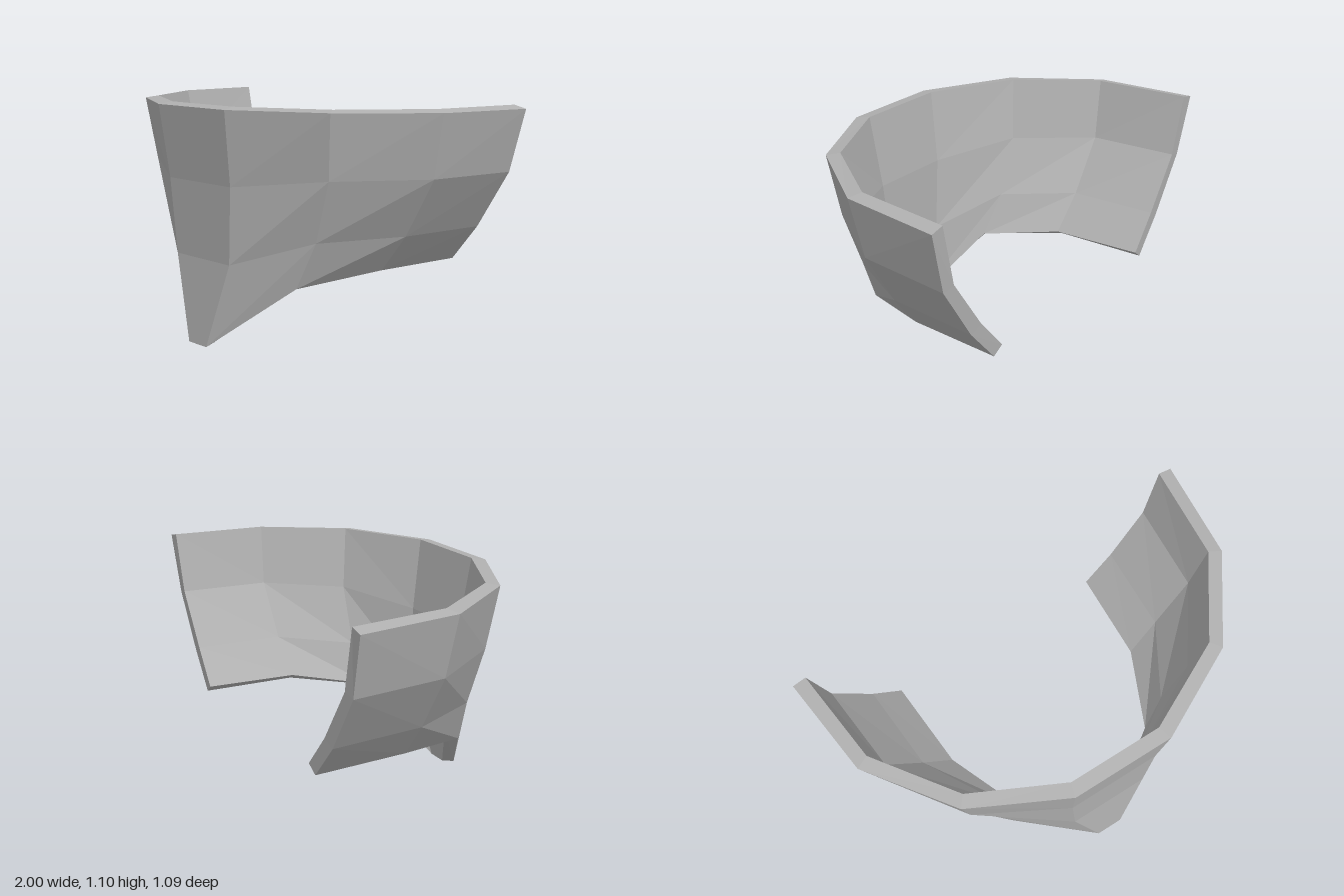
import * as THREE from 'three';

// Cross-sections of the +x half, front to back; each runs from the top rim down to the lower edge.
const OUTER = [
  [[0.245, 1.09, 0.545], [0.225, 0.75, 0.5], [0.195, 0.395, 0.485], [0.065, 0, 0.52]],
  [[0.675, 1.09, 0.325], [0.63, 0.797, 0.29], [0.53, 0.515, 0.27], [0.43, 0.3, 0.295]],
  [[0.95, 1.087, -0.065], [0.885, 0.8, -0.085], [0.72, 0.53, -0.09], [0.58, 0.357, -0.085]],
  [[1, 1.085, -0.545], [0.925, 0.8, -0.535], [0.75, 0.53, -0.535], [0.6, 0.357, -0.54]],
];
const INNER = [
  [[0.225, 1.1, 0.48], [0.205, 0.755, 0.43], [0.17, 0.4, 0.415], [0.05, 0.01, 0.46]],
  [[0.635, 1.1, 0.275], [0.585, 0.805, 0.235], [0.47, 0.53, 0.225], [0.37, 0.33, 0.26]],
  [[0.89, 1.1, -0.09], [0.83, 0.815, -0.11], [0.665, 0.56, -0.11], [0.525, 0.39, -0.1]],
  [[0.935, 1.1, -0.545], [0.865, 0.815, -0.54], [0.69, 0.56, -0.54], [0.55, 0.395, -0.545]],
];

// Mirrors the half so the columns run from -x round the front to +x.
function fullWrap(half) {
  const mirrored = half.map(col => col.map(([x, y, z]) => [-x, y, z])).reverse();
  return [...mirrored, ...half];
}

// Unshared corners keep every facet flat; corners run counter-clockwise.
function quadMesh(name, quads, material) {
  const positions = [];
  for (const { corners: [a, b, c, d], flip } of quads) {
    const tris = flip ? [a, b, d, b, c, d] : [a, b, c, a, c, d];
    for (const p of tris) positions.push(...p);
  }
  const geometry = new THREE.BufferGeometry();
  geometry.setAttribute('position', new THREE.Float32BufferAttribute(positions, 3));
  geometry.computeVertexNormals();
  const mesh = new THREE.Mesh(geometry, material);
  mesh.name = name;
  return mesh;
}

export function createModel() {
  const grey = new THREE.MeshStandardMaterial({ color: 0xb0b0b0 });
  grey.name = 'plain grey';

  const outer = fullWrap(OUTER), inner = fullWrap(INNER);
  const cols = outer.length, last = cols - 1, bottom = outer[0].length - 1;
  const outside = [], inside = [], rims = [], ends = [];

  for (let i = 0; i < last; i++) {
    const flip = i >= cols / 2; // diagonals mirror across the middle
    const o = outer[i], p = outer[i + 1], q = inner[i], r = inner[i + 1];
    for (let j = 0; j < bottom; j++) {
      outside.push({ corners: [o[j], o[j + 1], p[j + 1], p[j]], flip });
      inside.push({ corners: [r[j], r[j + 1], q[j + 1], q[j]], flip: !flip });
    }
    rims.push({ corners: [o[0], p[0], r[0], q[0]], flip });
    rims.push({ corners: [q[bottom], r[bottom], p[bottom], o[bottom]], flip });
  }

  // Narrow caps closing the two rear ends
  for (let j = 0; j < bottom; j++) {
    ends.push({ corners: [inner[0][j], inner[0][j + 1], outer[0][j + 1], outer[0][j]] });
    ends.push({ corners: [outer[last][j], outer[last][j + 1], inner[last][j + 1], inner[last][j]] });
  }

  const group = new THREE.Group();
  group.name = 'curvedGuard';
  group.add(
    quadMesh('outerShell', outside, grey),
    quadMesh('innerShell', inside, grey),
    quadMesh('rims', rims, grey),
    quadMesh('endCaps', ends, grey),
  );
  return group;
}
